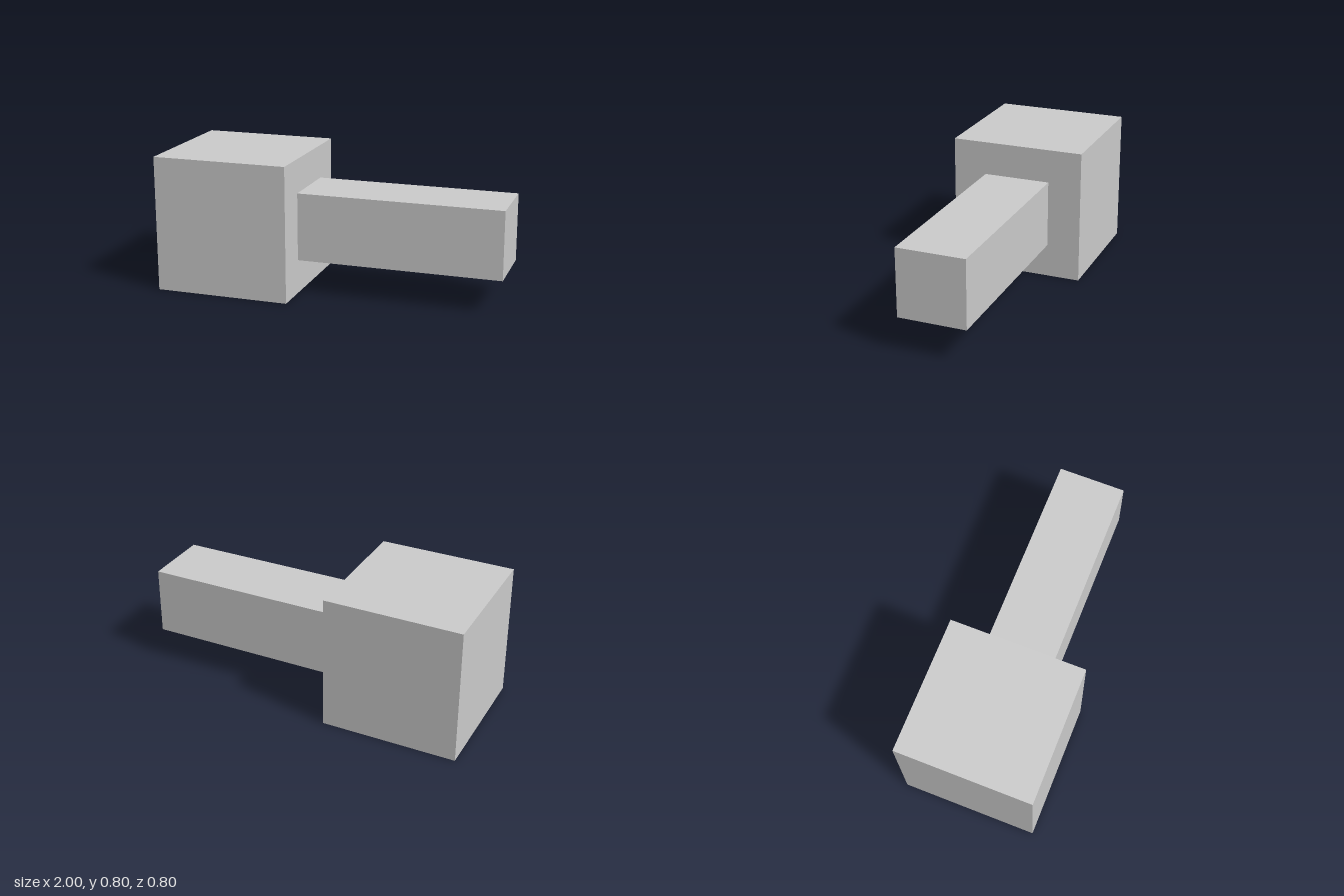
import * as THREE from 'three';

export function createModel() {
  const group = new THREE.Group();
  const material = new THREE.MeshStandardMaterial({ color: 0xcccccc, flatShading: true });

  // Square bar along x, from x0 to x1, centred on the shared axis
  const addBar = (name, x0, x1, side) => {
    const mesh = new THREE.Mesh(new THREE.BoxGeometry(x1 - x0, side, side), material);
    mesh.name = name;
    mesh.position.set((x0 + x1) / 2, 0.4, 0);
    group.add(mesh);
  };

  addBar('head', -1, -0.2, 0.8);
  addBar('shaft', -0.2, 1, 0.4);

  return group;
}
